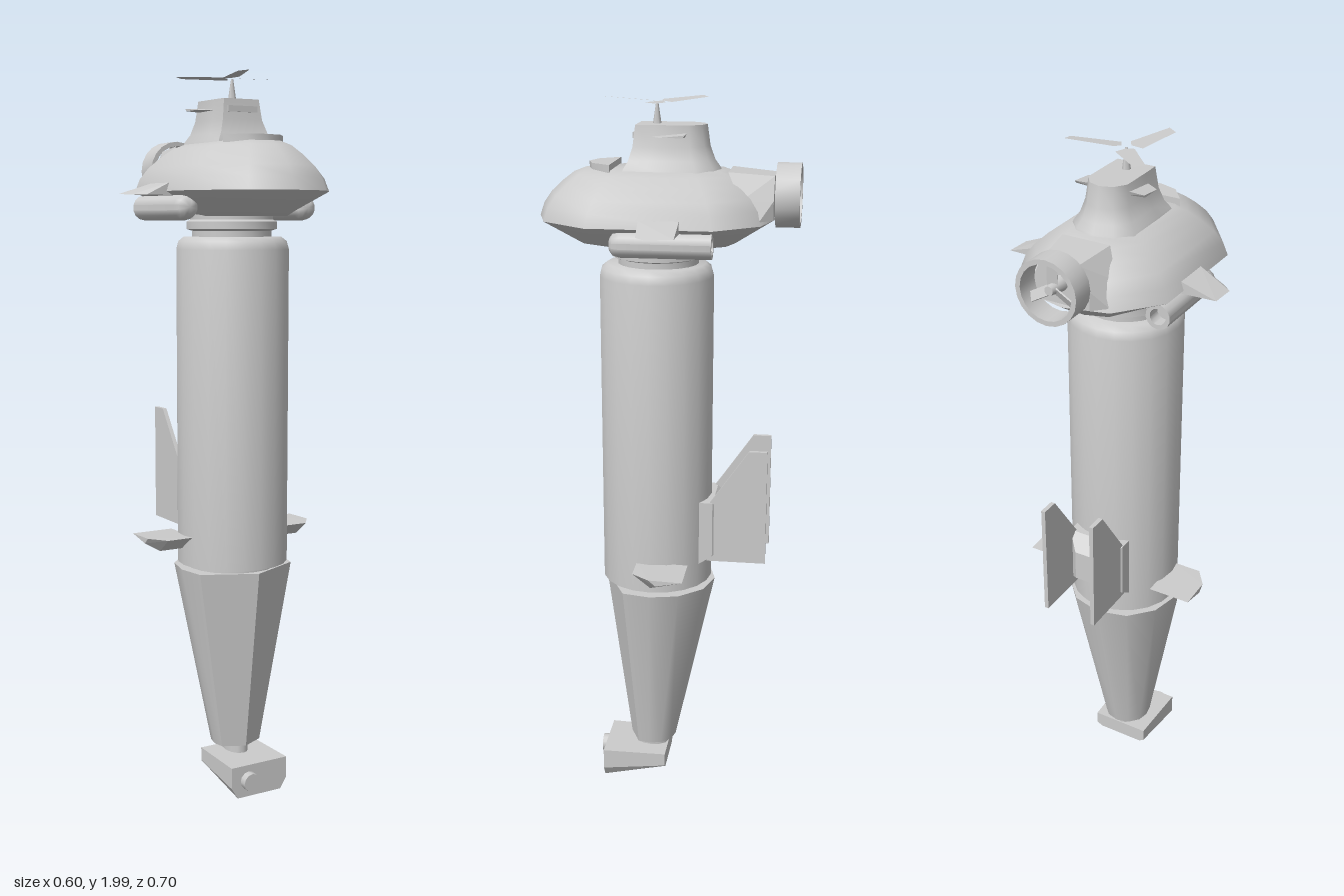
import * as THREE from 'three';
import { toCreasedNormals } from 'three/addons/utils/BufferGeometryUtils.js';
import { ConvexGeometry } from 'three/addons/geometries/ConvexGeometry.js';

const material = new THREE.MeshStandardMaterial({ color: 0xcccccc });
const thin = new THREE.MeshStandardMaterial({ color: 0xcccccc, side: THREE.DoubleSide });

export function createModel() {
  const model = new THREE.Group();

  function add(name, geometry, x = 0, y = 0, z = 0, parent = model, mat = material) {
    const mesh = new THREE.Mesh(geometry, mat);
    mesh.name = name;
    mesh.position.set(x, y, z);
    parent.add(mesh);
    return mesh;
  }

  // Lathe with sharp edges kept; optional stretch along z
  function turned(profile, sides, stretch = 1) {
    const pts = profile.map(([r, y]) => new THREE.Vector2(r, y));
    return toCreasedNormals(new THREE.LatheGeometry(pts, sides).scale(1, 1, stretch), 0.75);
  }

  // Half outline (front to back, x >= 0) mirrored into a closed section
  function mirrored(half) {
    return [...half, ...half.filter(p => p[0] > 0).reverse().map(([x, z]) => [-x, z])];
  }

  // Skin through sections of { y or points [x, z] }, capped at both ends
  function loft(levels, crease = 0.7) {
    const pos = [];
    const rings = levels.map(({ y, pts }) => pts.map(([x, z]) => [x, y, z]));
    const n = rings[0].length;
    for (let i = 0; i < rings.length - 1; i++) {
      for (let j = 0; j < n; j++) {
        const k = (j + 1) % n, a = rings[i], b = rings[i + 1];
        pos.push(...a[j], ...a[k], ...b[j], ...a[k], ...b[k], ...b[j]);
      }
    }
    const cap = (ring, up) => {
      const c = [0, 1, 2].map(i => ring.reduce((s, p) => s + p[i], 0) / n);
      ring.forEach((p, j) => {
        const q = ring[(j + 1) % n];
        pos.push(...c, ...(up ? p : q), ...(up ? q : p));
      });
    };
    cap(rings[0], false);
    cap(rings[rings.length - 1], true);
    const g = new THREE.BufferGeometry();
    g.setAttribute('position', new THREE.Float32BufferAttribute(pos, 3));
    return toCreasedNormals(g, crease);
  }

  // Faceted solid around corner points, optionally flipped to the other side
  function hull(points, side = 1) {
    return new ConvexGeometry(points.map(([x, y, z]) => new THREE.Vector3(x * side, y, z)));
  }
  const bothSides = pts => [...pts, ...pts.map(([x, y, z]) => [-x, y, z])];

  // Foot with its lens
  add('foot', hull(bothSides([
    [0.09, 0.1, 0.185], [0.09, 0.04, 0.185], [0.07, 0.008, 0.185],
    [0.085, 0.098, 0], [0.085, 0.06, 0], [0.07, 0.05, 0]])));
  add('footLens', new THREE.CylinderGeometry(0.026, 0.026, 0.03, 12).rotateX(Math.PI / 2), -0.035, 0.055, 0.192);
  add('ankle', new THREE.CylinderGeometry(0.032, 0.032, 0.05, 12).scale(1, 1, 1.5), 0, 0.115, 0.05);

  // Tapering lower section: faceted front, rounded back
  const taper = (y, s, z0) => ({
    y, pts: mirrored([[0, 0.158], [0.148, 0.088], [0.163, 0.01], [0.145, -0.07], [0.085, -0.135], [0, -0.158]])
      .map(([x, z]) => [x * s, z * s + z0]),
  });
  add('lowerTaper', loft([taper(0.125, 0.42, 0.045), taper(0.648, 1, 0.023)]));
  add('lowerJoint', new THREE.CylinderGeometry(0.13, 0.13, 0.04, 20), 0, 0.65, 0.03);

  // Main column and upper collar
  add('column', turned([[0, 0.66], [0.156, 0.66], [0.156, 1.535], [0.15, 1.557], [0.135, 1.569], [0, 1.57]], 20), 0, 0, 0.032);
  add('collar', turned([[0, 1.56], [0.11, 1.56], [0.11, 1.585], [0.125, 1.59], [0.125, 1.61], [0.115, 1.615],
    [0.115, 1.64], [0, 1.64]], 20), 0, 0, 0.027);

  // Column side fins
  for (const s of [1, -1]) {
    add('columnFin', hull([
      [0.14, 0.745, 0.07], [0.14, 0.742, -0.073], [0.14, 0.706, 0.02],
      [0.262, 0.742, -0.073], [0.262, 0.745, 0.02], [0.225, 0.745, 0.07],
      [0.225, 0.706, 0.02], [0.262, 0.728, 0]], s));
  }

  // Twin rear fins on a bracket
  add('rearBracket', hull(bothSides([
    [0.085, 0.91, -0.09], [0.085, 0.91, -0.135], [0.085, 0.75, -0.135], [0.085, 0.72, -0.09],
    [0.045, 0.87, -0.175], [0.045, 0.78, -0.175]])));
  const finShape = new THREE.Shape([[0.12, 0.735], [0.285, 0.735], [0.285, 1.065], [0.235, 1.065], [0.145, 0.935], [0.12, 0.9]]
    .map(([x, y]) => new THREE.Vector2(x, y)));
  for (const s of [1, -1]) {
    const g = new THREE.ExtrudeGeometry(finShape, { depth: 0.012, bevelEnabled: false });
    add('rearFin', g.translate(0, 0, -0.006).rotateY(Math.PI / 2), s * 0.075, 0, 0);
  }

  // Domed head hull, each level drawn in from the rim
  const rim = mirrored([[0, 0.32], [0.117, 0.285], [0.212, 0.16], [0.212, -0.17], [0.118, -0.285], [0, -0.315]]);
  const level = (y, inset) => ({
    y, pts: rim.map(([x, z]) => [x * (1 - inset / 0.212), z * (1 - inset / 0.315) + 0.03]),
  });
  add('headHull', loft([
    level(1.625, 0.105), level(1.69, 0), level(1.725, 0.012), level(1.755, 0.033),
    level(1.785, 0.065), level(1.808, 0.095), level(1.82, 0.125)], 0.8));

  // Tail fairing and ducted rear propeller
  add('tailFairing', hull(bothSides([
    [0.05, 1.81, -0.285], [0.08, 1.7, -0.285], [0.08, 1.75, -0.285],
    [0.067, 1.82, -0.165], [0.115, 1.7, -0.25], [0.105, 1.75, -0.2]])));
  const duct = new THREE.Group();
  duct.name = 'rearThruster';
  duct.position.set(0, 1.755, -0.32);
  model.add(duct);
  add('ductRing', turned([[0.072, -0.032], [0.085, -0.032], [0.085, 0.032], [0.072, 0.032], [0.072, -0.032]], 20)
    .rotateX(Math.PI / 2), 0, 0, 0, duct);
  add('thrusterHub', new THREE.CylinderGeometry(0.022, 0.012, 0.06, 10).rotateX(Math.PI / 2), 0, 0, 0.012, duct);
  for (let i = 0; i < 3; i++) {
    const blade = add('thrusterBlade', new THREE.BoxGeometry(0.026, 0.064, 0.004).rotateY(0.5).translate(0, 0.041, 0),
      0, 0, 0, duct);
    blade.rotation.z = i * Math.PI * 2 / 3;
  }

  // Side tubes, rounded nose and open back, with winglets above
  const tube = [[0, -0.1], [0.022, -0.1], [0.022, -0.138], [0.034, -0.138], [0.034, 0.1], [0.029, 0.118], [0.017, 0.127], [0, 0.13]];
  for (const s of [1, -1]) {
    add('sideTube', turned(tube, 14).rotateX(Math.PI / 2), s * 0.185, 1.647, 0);
    add('winglet', hull([
      [0.18, 1.715, -0.055], [0.18, 1.715, 0.05], [0.18, 1.68, -0.055], [0.18, 1.68, 0.05],
      [0.205, 1.712, 0.05], [0.205, 1.712, -0.055],
      [0.302, 1.683, -0.055], [0.302, 1.68, 0.02], [0.27, 1.68, 0.047]], s));
  }

  // Turret: square front, rounded back, flared foot
  const turretHalf = [[0, 0.08], [0.054, 0.08], [0.055, 0.03], [0.055, -0.06], [0.033, -0.092], [0, -0.103]];
  const turret = (y, s, tilt = 0) => ({ y, pts: mirrored(turretHalf).map(([x, z]) => [x * s, z * (1 + (s - 1) * 0.6)]) });
  add('turret', loft([turret(1.805, 1.7), turret(1.825, 1.58), turret(1.845, 1.34), turret(1.88, 1.13),
    turret(1.935, 1)], 0.8));
  add('turretSlot', new THREE.BoxGeometry(0.09, 0.016, 0.02), 0, 1.908, 0.078);
  for (const s of [1, -1]) {
    add('turretVane', hull([
      [0.045, 1.916, -0.055], [0.045, 1.904, -0.05], [0.045, 1.906, 0.045],
      [0.098, 1.914, -0.055], [0.098, 1.907, -0.05], [0.098, 1.907, 0.01]], s));
  }

  // Hatch ahead of the turret
  const hatch = mirrored([[0, 0.212], [0.052, 0.195], [0.093, 0.143], [0, 0.143]]);
  add('hatch', loft([{ y: 1.80, pts: hatch }, { y: 1.836, pts: hatch }]));

  // Top rotor
  const rotor = new THREE.Group();
  rotor.name = 'topRotor';
  rotor.position.set(0, 1.99, 0.03);
  model.add(rotor);
  add('rotorShaft', new THREE.CylinderGeometry(0.003, 0.012, 0.06, 6), 0, -0.03, 0, rotor);
  const bladeShape = new THREE.Shape([[0.014, 0], [0.03, -0.028], [0.152, 0.015], [0.152, 0.045], [0.024, 0.02]]
    .map(([x, y]) => new THREE.Vector2(x, y)));
  for (let i = 0; i < 3; i++) {
    const g = new THREE.ShapeGeometry(bladeShape).rotateX(-Math.PI / 2);
    g.rotateX(0.1).rotateZ(0.02);
    add('rotorBlade', g, 0, 0.002, 0, rotor, thin).rotation.y = i * Math.PI * 2 / 3;
  }

  return model;
}
